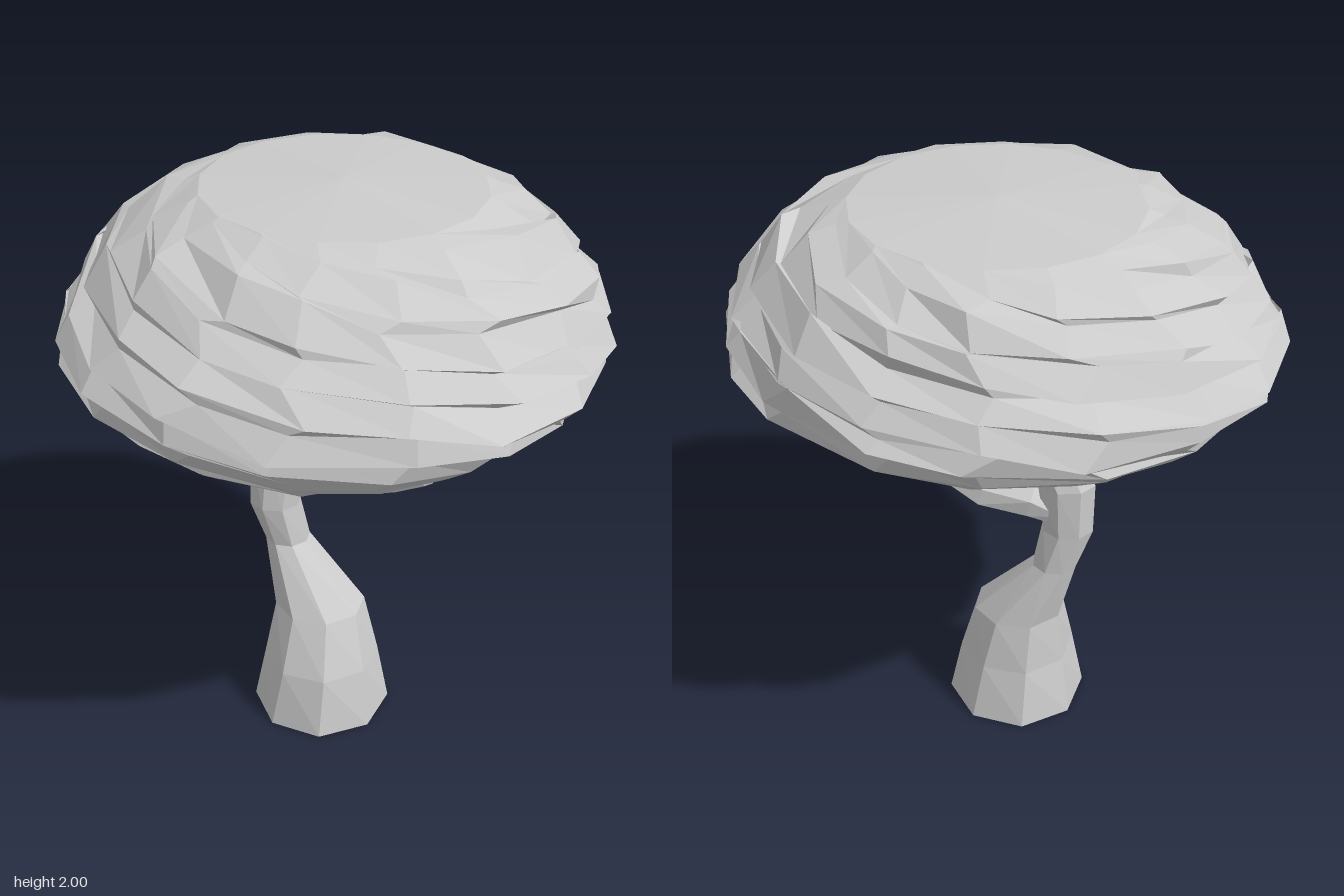
import * as THREE from 'three';

const material = new THREE.MeshStandardMaterial({ color: 0xcccccc, flatShading: true, side: THREE.DoubleSide });

// Repeatable value in -1..1 for a whole number
function jitter(n) {
  const s = Math.sin(n * 12.9898 + 4.1) * 43758.5453;
  return 2 * (s - Math.floor(s)) - 1;
}

// Flat-shaded skin over a grid of points; columns run left to right, rows upwards
function skin(name, rows, columns, point) {
  const positions = [];
  const tri = new THREE.Triangle();
  const add = (a, b, c) => {
    if (tri.set(a, b, c).getArea() > 1e-6) for (const p of [a, b, c]) positions.push(p.x, p.y, p.z);
  };
  for (let i = 0; i < rows; i++) {
    for (let j = 0; j < columns; j++) {
      const a = point(i, j), b = point(i, j + 1), c = point(i + 1, j + 1), d = point(i + 1, j);
      add(a, b, d);
      add(b, c, d);
    }
  }
  const geometry = new THREE.BufferGeometry();
  geometry.setAttribute('position', new THREE.Float32BufferAttribute(positions, 3));
  geometry.computeVertexNormals();
  const mesh = new THREE.Mesh(geometry, material);
  mesh.name = name;
  return mesh;
}

// Limb through sections [x, y, z, radiusX, radiusZ]; level keeps the rings horizontal
function limb(name, sections, sides, level) {
  const centres = sections.map(([x, y, z]) => new THREE.Vector3(x, y, z));
  const up = new THREE.Vector3(0, 1, 0);
  const last = sections.length - 1;
  const rings = sections.map(([, , , rx, rz], i) => {
    const along = centres[Math.min(i + 1, last)].clone().sub(centres[Math.max(i - 1, 0)]).normalize();
    const turn = new THREE.Quaternion();
    if (!level) turn.setFromUnitVectors(up, along);
    return Array.from({ length: sides }, (_, j) => {
      const angle = ((j + 0.2) / sides) * Math.PI * 2 + 0.08 * i;
      return new THREE.Vector3(rx * Math.sin(angle), 0, rz * Math.cos(angle)).applyQuaternion(turn).add(centres[i]);
    });
  });
  return skin(name, last, sides, (i, j) => rings[i][j % sides]);
}

// Foliage: a flattened dome wrapped in overlapping layers that wind down around it
function foliage() {
  // Radius and height from the rim of the flat underside to the rim of the crown
  const profile = [
    [0.34, 1.17], [0.6, 1.24], [0.76, 1.345], [0.865, 1.44], [0.905, 1.53],
    [0.875, 1.62], [0.83, 1.71], [0.755, 1.81], [0.655, 1.9], [0.46, 1.975],
  ];
  const top = profile.length - 1;
  const columns = 16;
  const drop = 7; // layers descended per turn
  const rows = 2 * (top + drop);

  const place = (r, y, angle) => new THREE.Vector3(
    r * Math.sin(angle) + 0.09 * (Math.min(y, 1.75) - 1.56),
    y,
    0.92 * r * Math.cos(angle) - 0.14 * (y - 1.55),
  );

  return skin('foliage', rows + 2, columns, (row, column) => {
    // First and last rows close the underside and the crown
    if (row === 0) return place(0, 1.165, 0);
    if (row === rows + 2) return place(0, 2, 0);

    // The last column meets the first one, a whole number of layers lower
    const seam = column === columns;
    const i = row - 1 - (seam ? 2 * drop : 0);
    const j = seam ? 0 : column;
    const id = i * columns + j;
    const height = i / 2 - (drop * j) / columns;
    const u = THREE.MathUtils.clamp(height, 0, top);
    const k = Math.min(Math.floor(u), top - 1);
    let [r, y] = profile[k].map((v, n) => THREE.MathUtils.lerp(v, profile[k + 1][n], u - k));
    let angle = (j / columns) * Math.PI * 2;

    if (height > 0 && height < top) {
      // Even rows are the overhanging lips, odd rows the notches tucked in beneath the next lip;
      // the layers fade out towards the underside and the crown
      const ridge = THREE.MathUtils.smoothstep(u, 2, 4) * (1 - THREE.MathUtils.smoothstep(u, 8, 9));
      const lip = i % 2 === 0;
      r *= 1 + ridge * (lip ? 0.005 + 0.012 * jitter(id) : -0.045 + 0.035 * jitter(id));
      y += ridge * ((lip ? -0.018 : 0.016) + 0.022 * jitter(id + 900));
      angle += 0.08 * jitter(id + 2000);
    }
    return place(r, y, angle);
  });
}

export function createModel() {
  const group = new THREE.Group();
  group.name = 'tree';

  // Trunk, open at the foot, leaning and then bending back under the foliage
  group.add(limb('trunk', [
    [-0.045, 0, 0.01, 0.24, 0.245],
    [-0.045, 0.21, 0.01, 0.2, 0.205],
    [-0.055, 0.4, -0.02, 0.158, 0.15],
    [-0.18, 0.63, -0.072, 0.078, 0.078],
    [-0.222, 0.78, -0.065, 0.09, 0.085],
    [-0.212, 0.97, -0.075, 0.102, 0.08],
    [-0.12, 1.19, -0.06, 0.08, 0.055],
    [-0.05, 1.3, -0.05, 0.06, 0.05],
  ], 8, true));

  // Side branch sweeping out and up into the foliage
  group.add(limb('branch', [
    [-0.2, 0.85, -0.08, 0.05, 0.05],
    [-0.1, 0.895, -0.08, 0.065, 0.06],
    [0.06, 0.9, -0.055, 0.06, 0.055],
    [0.21, 0.965, 0.005, 0.055, 0.055],
    [0.3, 1.01, 0.035, 0.055, 0.05],
    [0.345, 1.1, 0.025, 0.045, 0.05],
    [0.385, 1.22, -0.02, 0.043, 0.055],
    [0.41, 1.32, -0.04, 0.04, 0.045],
  ], 6, false));

  group.add(foliage());
  return group;
}
